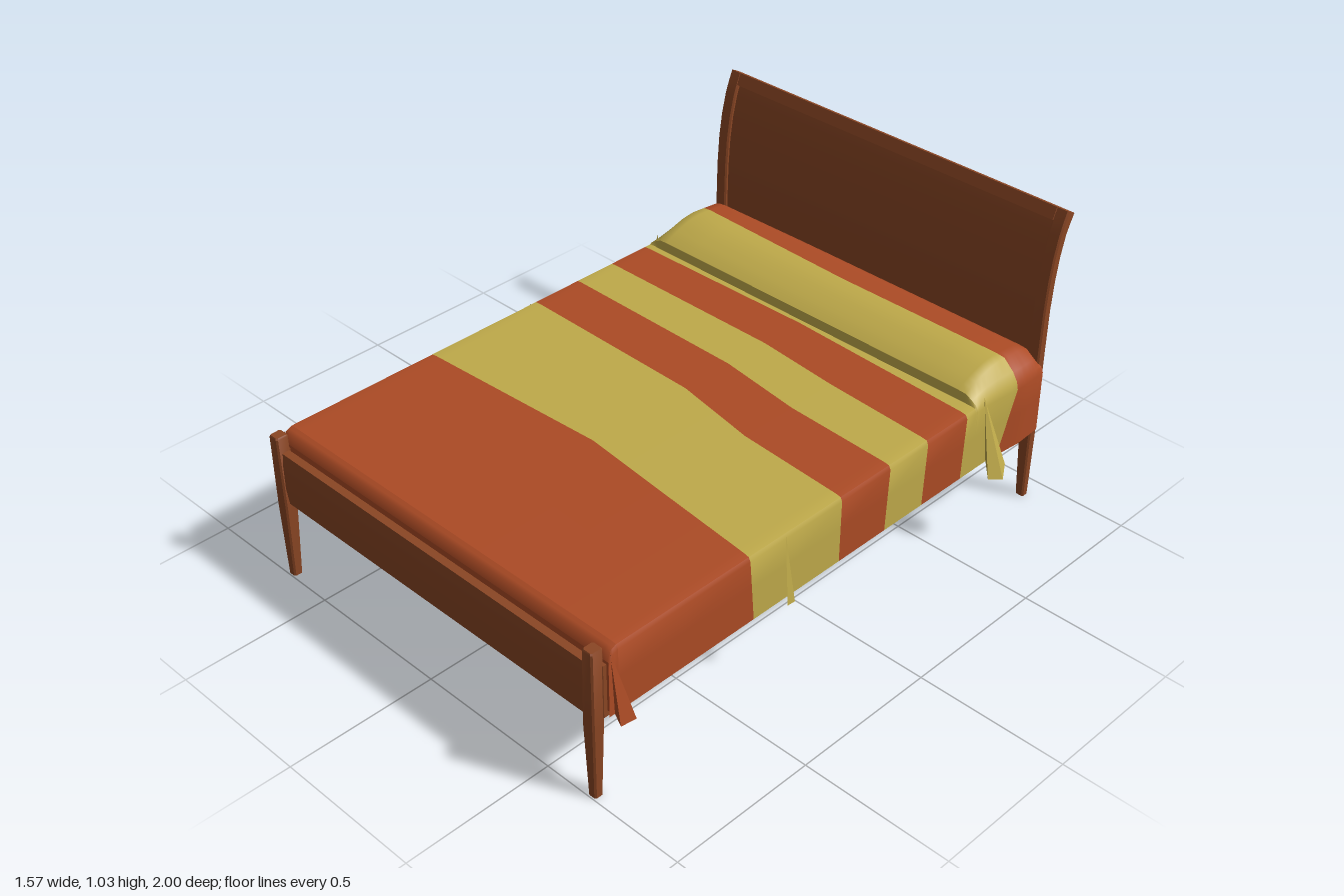
import * as THREE from 'three';
import { toCreasedNormals } from 'three/addons/utils/BufferGeometryUtils.js';
import { ConvexGeometry } from 'three/addons/geometries/ConvexGeometry.js';

const wood = new THREE.MeshStandardMaterial({ color: 0x8a4624, name: 'wood' });
const rust = new THREE.MeshStandardMaterial({ color: 0xac4b25, name: 'rust cloth', side: THREE.DoubleSide });
const gold = new THREE.MeshStandardMaterial({ color: 0xbfaa4a, name: 'gold cloth', side: THREE.DoubleSide });

function build(points, index, crease) {
  const g = new THREE.BufferGeometry();
  g.setAttribute('position', new THREE.Float32BufferAttribute(points.flat(), 3));
  g.setIndex(index);
  return toCreasedNormals(g, crease);
}

// Piecewise linear lookup through [key, value] pairs with rising keys
function lookup(pairs, k) {
  if (k <= pairs[0][0]) return pairs[0][1];
  for (let i = 1; i < pairs.length; i++) {
    const [a, va] = pairs[i - 1], [b, vb] = pairs[i];
    if (k <= b) return va + (vb - va) * (k - a) / (b - a);
  }
  return pairs[pairs.length - 1][1];
}

// Solid through chamfered rectangles; row = [y, x0, x1, z0, z1, y at the back]
function loft(rows, b = 0.005) {
  const pts = [], idx = [], n = 8;
  for (const [y, x0, x1, z0, z1, yb = y] of rows) {
    const ring = [[x0 + b, z1], [x1 - b, z1], [x1, z1 - b], [x1, z0 + b],
      [x1 - b, z0], [x0 + b, z0], [x0, z0 + b], [x0, z1 - b]];
    for (const [x, z] of ring) pts.push([x, yb + (y - yb) * (z - z0) / (z1 - z0), z]);
  }
  const last = (rows.length - 1) * n;
  for (let r = 0; r < last; r += n) {
    for (let i = 0; i < n; i++) {
      const a = r + i, c = r + (i + 1) % n;
      idx.push(a, c, c + n, a, c + n, a + n);
    }
  }
  for (let i = 1; i < n - 1; i++) idx.push(0, i + 1, i, last, last + i, last + i + 1);
  return build(pts, idx, 0.6);
}

// Open sheet through rows of points
function sheet(rows) {
  const n = rows[0].length, idx = [];
  for (let r = 0; r < rows.length - 1; r++) {
    for (let c = 0; c < n - 1; c++) {
      const a = r * n + c;
      idx.push(a, a + n, a + n + 1, a, a + n + 1, a + 1);
    }
  }
  return build(rows.flat(), idx, 0.75);
}

export function createModel() {
  const bed = new THREE.Group();
  bed.name = 'bed';
  const add = (name, geometry, material) => {
    const m = new THREE.Mesh(geometry, material);
    m.name = name;
    bed.add(m);
  };
  const span = (s, a, b) => (s > 0 ? [a, b] : [-b, -a]);

  // Headboard curve: [height, back z, front z, back height]
  const curve = [[0.28, -0.93, -0.895], [0.55, -0.93, -0.896], [0.7, -0.932, -0.899], [0.8, -0.94, -0.906],
    [0.88, -0.952, -0.918], [0.95, -0.97, -0.935], [0.99, -0.984, -0.949, 0.98], [1.028, -1, -0.965, 1.01]];

  for (const s of [1, -1]) {
    const side = s > 0 ? 'left' : 'right';
    add(side + 'HeadPost', loft([[0, ...span(s, 0.655, 0.685), -0.93, -0.903],
      ...curve.map(([y, b, f, yb]) => [y, ...span(s, 0.645, 0.69), b, f, yb])]), wood);
    add(side + 'FootPost', loft([[0, ...span(s, 0.655, 0.685), 0.965, 0.995],
      [0.26, ...span(s, 0.645, 0.69), 0.957, 1],
      [0.515, ...span(s, 0.65, 0.69), 0.957, 1],
      [0.52, ...span(s, 0.653, 0.687), 0.96, 0.997]]), wood);
    add(side + 'SideRail', loft([[0.28, ...span(s, 0.66, 0.692), -0.91, 0.965],
      [0.46, ...span(s, 0.66, 0.692), -0.91, 0.965]], 0.003), wood);
  }

  // Recessed headboard panel and its top rail
  add('headboardPanel', loft(curve.slice(0, 7).map(([y, b, f, yb]) => [y, -0.65, 0.65, b, f - 0.012, yb]), 0.001), wood);
  add('headboardTopRail', loft(curve.slice(6).map(([y, b, f, yb]) => [y, -0.65, 0.65, b, f, yb]), 0.003), wood);

  add('footboard', loft([[0.28, -0.65, 0.65, 0.962, 0.985], [0.34, -0.65, 0.65, 0.96, 0.992],
    [0.42, -0.65, 0.65, 0.96, 0.992], [0.465, -0.65, 0.65, 0.962, 0.988]], 0.004), wood);

  // Blanket cross-section [x, y, share of the pillow rise]
  const half = [[0.15, 0.51, 1], [0.3, 0.51, 1], [0.5, 0.51, 1], [0.62, 0.51, 1], [0.65, 0.51, 0.95],
    [0.675, 0.51, 0.5], [0.693, 0.508, 0.15], [0.7, 0.495, 0], [0.7, 0.4, 0], [0.7, 0.28, 0]];
  const section = [...half.map(([x, y, w]) => [-x, y, w]).reverse(), [0, 0.51, 1], ...half];

  // Pillow rise over the head end and rounding at the foot end
  const rise = [[-0.9, 0.02], [-0.885, 0.055], [-0.86, 0.066], [-0.75, 0.078], [-0.7, 0.074], [-0.65, 0.06],
    [-0.61, 0.044], [-0.586, 0.03], [-0.58, 0], [0.915, 0], [0.938, -0.01], [0.95, -0.04]];
  const bulge = [[-0.9, 0.008], [-0.8, 0.014], [-0.65, 0]];

  // Stripe edges: z at x = -0.7, 0, 0.3, 0.7, then the shift at the hem
  const edges = [
    [-0.9, -0.9, -0.9, -0.9, 0], [-0.8, -0.77, -0.77, -0.77, 0.07], [-0.586, -0.586, -0.586, -0.586, 0],
    [-0.58, -0.58, -0.58, -0.58, 0], [-0.555, -0.565, -0.552, -0.535, 0.01], [-0.4, -0.4, -0.372, -0.35, 0.01],
    [-0.245, -0.235, -0.195, -0.178, 0.01], [-0.06, -0.045, 0.01, 0.035, 0], [0.375, 0.34, 0.373, 0.415, -0.02],
    [0.915, 0.915, 0.915, 0.915, 0], [0.95, 0.95, 0.95, 0.95, 0]];
  const stripes = [[rust, 8], [gold, 8], [gold, 1], [gold, 1], [rust, 1], [gold, 1], [rust, 1], [gold, 2], [rust, 2], [rust, 3]];
  const edgeZ = (e, x, y) => lookup([[-0.7, e[0]], [0, e[1]], [0.3, e[2]], [0.7, e[3]]], x)
    + e[4] * Math.max(0, (0.5 - y) / 0.22);

  stripes.forEach(([material, steps], i) => {
    const rows = [];
    for (let r = 0; r <= steps; r++) {
      rows.push(section.map(([x, y, w]) => {
        const z = THREE.MathUtils.lerp(edgeZ(edges[i], x, y), edgeZ(edges[i + 1], x, y), r / steps);
        const h = lookup(rise, z);
        const out = Math.abs(x) > 0.67 ? Math.sign(x) * lookup(bulge, z) : 0;
        return [x + out, y + (h > 0 ? h * w : y > 0.45 ? h : 0), z];
      }));
    }
    add('blanketStripe' + (i + 1), sheet(rows), material);
  });

  // Blanket end tucked behind the footboard
  add('blanketEnd', sheet([0.47, 0.3].map((y) => [[-0.7, y, 0.95], [0.7, y, 0.95]])), rust);

  // Hanging folds: a peak on the edge widening to a loose hem
  const fold = (name, s, peak, hem, material) => add(name, toCreasedNormals(new ConvexGeometry(
    [peak, ...hem].map(([x, y, z]) => new THREE.Vector3(s * x, y, z))), 0.3), material);
  for (const s of [1, -1]) {
    const side = s > 0 ? 'left' : 'right';
    fold(side + 'PillowFold', s, [0.695, 0.53, -0.62],
      [[0.71, 0.3, -0.635], [0.755, 0.285, -0.677], [0.785, 0.265, -0.63], [0.76, 0.275, -0.587]], gold);
    fold(side + 'CornerFold', s, [0.695, 0.5, 0.94],
      [[0.698, 0.28, 0.93], [0.742, 0.265, 0.892], [0.737, 0.268, 0.945]], rust);
  }
  fold('leftSmallFold', 1, [0.698, 0.51, 0.27], [[0.698, 0.28, 0.25], [0.73, 0.28, 0.257], [0.728, 0.28, 0.285]], gold);
  fold('rightSmallFold', -1, [0.698, 0.51, -0.04], [[0.698, 0.28, -0.02], [0.735, 0.28, -0.03], [0.73, 0.28, -0.058]], gold);

  return bed;
}
